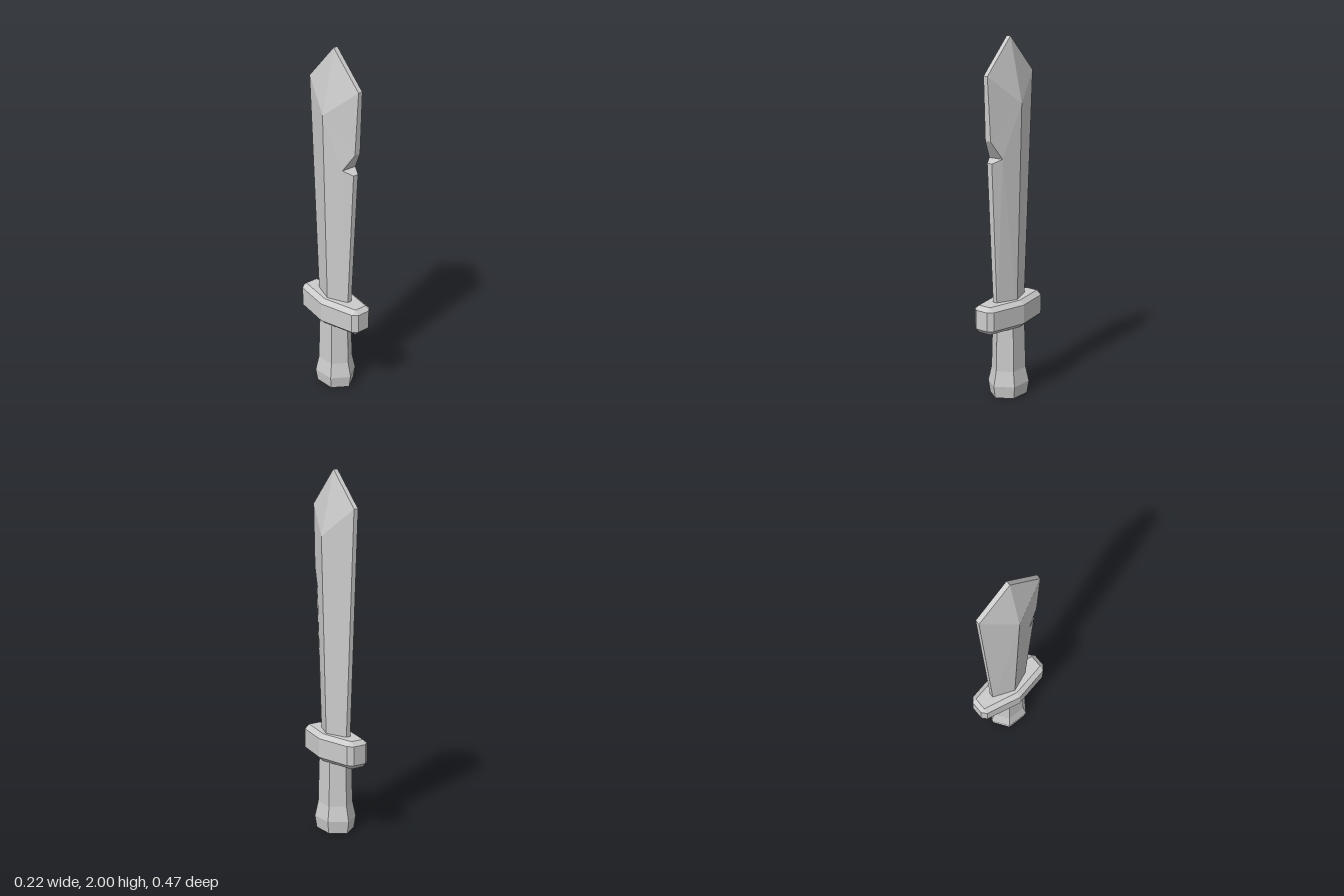
import * as THREE from 'three';

const steel = new THREE.MeshStandardMaterial({ color: 0xcccccc, flatShading: true });
steel.name = 'plain grey';

// Flat-shaded mesh from a list of triangles, each with three [x, y, z] corners
function facetedMesh(name, triangles) {
  const geometry = new THREE.BufferGeometry();
  geometry.setAttribute('position', new THREE.Float32BufferAttribute(triangles.flat(2), 3));
  geometry.computeVertexNormals();
  const mesh = new THREE.Mesh(geometry, steel);
  mesh.name = name;
  return mesh;
}

// Joins equal-sized rings from bottom to top and caps both ends
function loft(name, rings) {
  const triangles = [];
  const n = rings[0].length;
  for (let r = 0; r < rings.length - 1; r++) {
    for (let i = 0; i < n; i++) {
      const j = (i + 1) % n;
      const [a, b] = [rings[r], rings[r + 1]];
      triangles.push([a[i], a[j], b[j]], [a[i], b[j], b[i]]);
    }
  }
  const bottom = rings[0], top = rings[rings.length - 1];
  for (let i = 1; i < n - 1; i++) {
    triangles.push([bottom[0], bottom[i + 1], bottom[i]], [top[0], top[i], top[i + 1]]);
  }
  return facetedMesh(name, triangles);
}

// Six-sided grip that flares into a pommel
function createHandle() {
  const profile = [[0, 0.118], [0.07, 0.13], [0.155, 0.109], [0.45, 0.1]]; // height, radius
  return loft('handle', profile.map(([y, radius]) => {
    const ring = [];
    for (let i = 0; i < 6; i++) {
      const angle = i * Math.PI / 3;
      ring.push([Math.sin(angle) * radius * 0.84, y, Math.cos(angle) * radius]);
    }
    return ring;
  }));
}

// Bevelled cross guard, long from front to back
function createGuard() {
  const ring = (y, quarter) => {
    const half = [...quarter, ...quarter.slice(0, -1).reverse().map(([x, z]) => [x, -z])];
    return [...half, ...half.map(([x, z]) => [-x, -z])
      .filter(([x]) => x !== 0)].map(([x, z]) => [x, y, z]);
  };
  const outer = [[0.038, 0.233], [0.066, 0.208], [0.108, 0]];
  const inner = [[0.038, 0.208], [0.038, 0.208], [0.08, 0]];
  return loft('guard', [ring(0.405, inner), ring(0.43, outer), ring(0.537, outer), ring(0.56, inner)]);
}

// Diamond-section blade with blunt edges and a nick in the front edge
function createBlade() {
  const edge = 0.013;
  const p = {
    frontBase: [edge, 0.5, 0.115],
    nickLow: [0.016, 1.34, 0.16],
    nick: [0.046, 1.36, 0.106],
    nickHigh: [0.018, 1.46, 0.172],
    frontShoulder: [edge, 1.805, 0.19],
    tip: [edge, 2, 0],
    backShoulder: [edge, 1.805, -0.19],
    backBase: [edge, 0.5, -0.122],
    ridgeBase: [0.06, 0.5, 0],
    ridgeTop: [0.09, 1.65, 0],
  };
  const faces = [
    ['ridgeBase', 'frontBase', 'nick'], ['frontBase', 'nickLow', 'nick'],
    ['ridgeBase', 'nick', 'ridgeTop'], ['nick', 'nickHigh', 'ridgeTop'],
    ['nickHigh', 'frontShoulder', 'ridgeTop'], ['frontShoulder', 'tip', 'ridgeTop'],
    ['tip', 'backShoulder', 'ridgeTop'], ['ridgeTop', 'backShoulder', 'backBase'],
    ['ridgeTop', 'backBase', 'ridgeBase'],
  ];
  const mirror = ([x, y, z]) => [-x, y, z];
  const triangles = [];
  for (const [a, b, c] of faces) {
    triangles.push([p[a], p[c], p[b]], [mirror(p[a]), mirror(p[b]), mirror(p[c])]);
  }
  // Narrow strip around the cutting edges
  const outline = Object.values(p).slice(0, 8);
  for (let i = 0; i < outline.length - 1; i++) {
    const [a, b] = [outline[i], outline[i + 1]];
    triangles.push([a, b, mirror(b)], [a, mirror(b), mirror(a)]);
  }
  return facetedMesh('blade', triangles);
}

export function createModel() {
  const sword = new THREE.Group();
  sword.name = 'sword';
  sword.add(createHandle(), createGuard(), createBlade());
  return sword;
}
